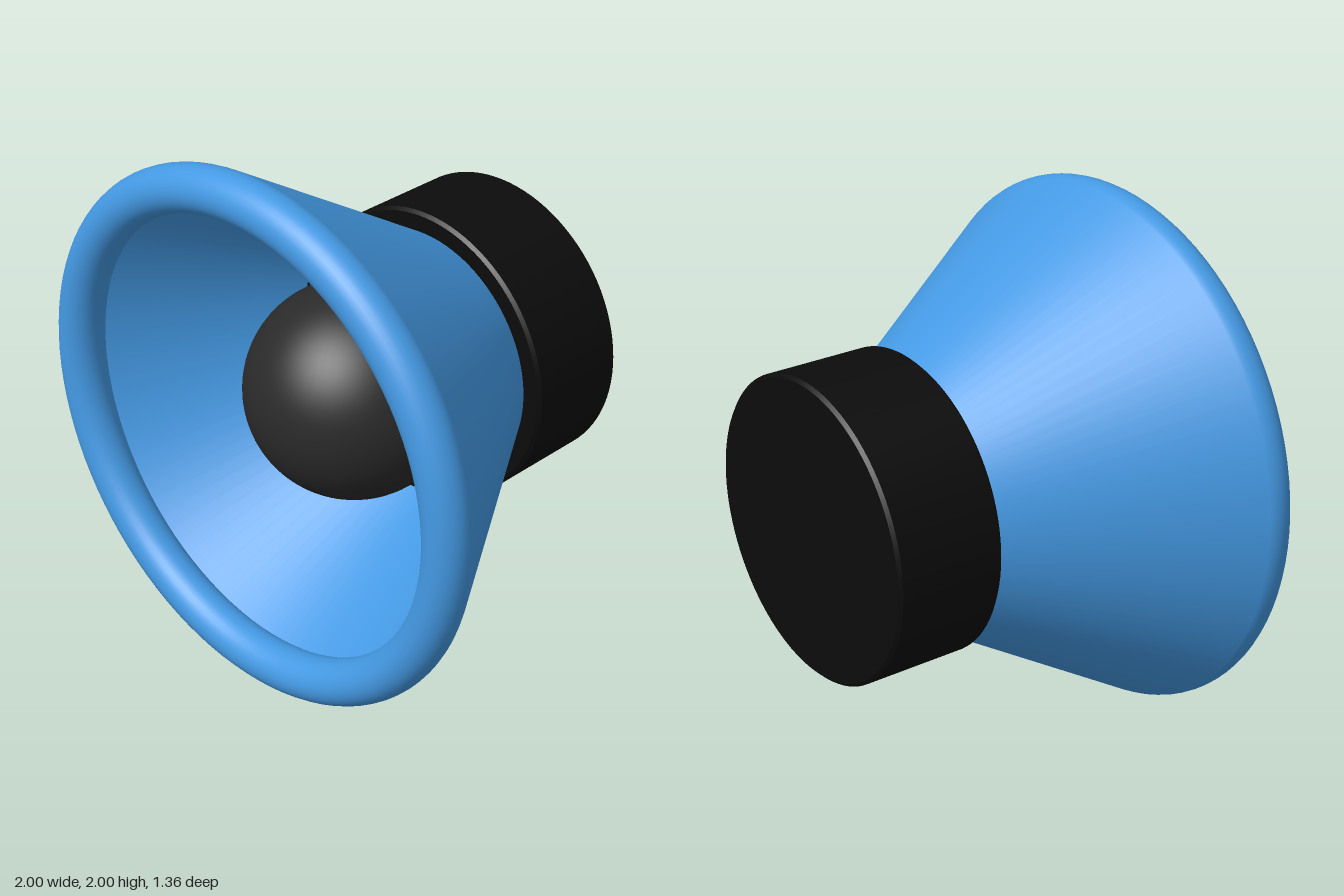
import * as THREE from 'three';

const mat = (color, side = THREE.FrontSide) => new THREE.MeshStandardMaterial({ color, side });

// Lathe around the z axis from [radius, z] pairs
function turned(points) {
  const g = new THREE.LatheGeometry(points.map(([r, z]) => new THREE.Vector2(r, z)), 96);
  return g.rotateX(Math.PI / 2);
}

export function createModel() {
  const model = new THREE.Group();
  const blue = 0x4499e3, black = 0x0c0c0c;

  const add = (name, geometry, material, z = 0) => {
    const mesh = new THREE.Mesh(geometry, material);
    mesh.name = name;
    mesh.position.set(0, 1, z);
    model.add(mesh);
  };

  // Thin flared cone, tangent to the rolled rim
  add('cone', turned([[0.483, -0.265], [0.987, 0.552]]), mat(blue, THREE.DoubleSide));

  // Rolled rim
  add('rim', new THREE.TorusGeometry(0.915, 0.085, 32, 96), mat(blue), 0.597);

  // Magnet drum with slightly softened edges; doubled points keep its faces crisp
  const r = 0.56, b = 0.012, back = -0.682, front = -0.262;
  add('magnet', turned([
    [0, back], [r - b, back], [r - b, back], [r, back + b], [r, back + b],
    [r, front - b], [r, front - b], [r - b, front], [r - b, front], [0, front],
  ]), mat(black));

  // Plug closing the throat of the cone
  const plug = new THREE.CylinderGeometry(0.532, 0.478, 0.09, 96).rotateX(Math.PI / 2);
  add('throatPlug', plug, mat(black), -0.217);

  // Round dust cap
  add('dustCap', new THREE.SphereGeometry(0.4, 64, 40), mat(0x2a2a2a), 0.1);

  return model;
}
